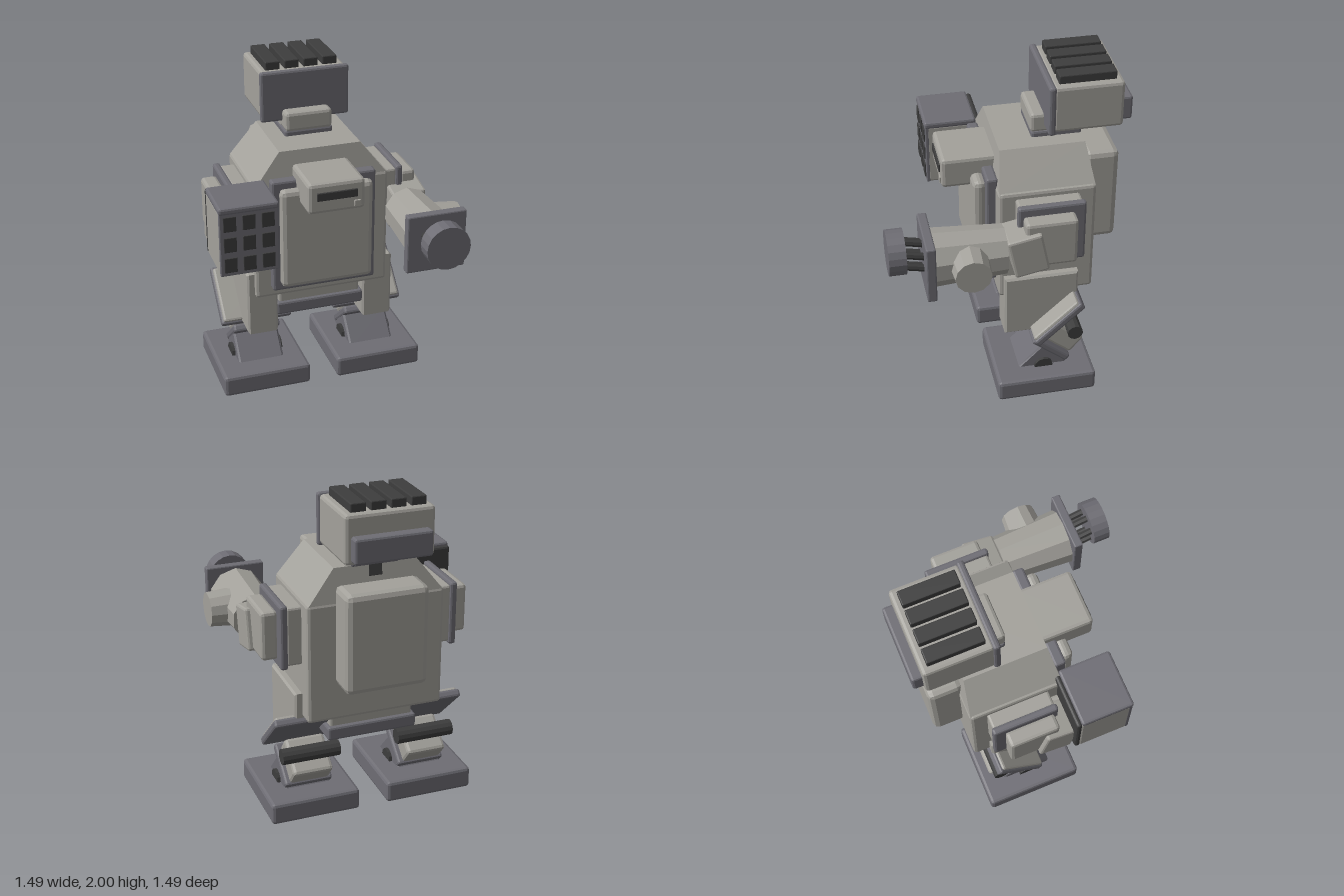
import * as THREE from 'three';
import { RoundedBoxGeometry } from 'three/addons/geometries/RoundedBoxGeometry.js';

const make = (name, color) => {
  const m = new THREE.MeshStandardMaterial({ color, flatShading: true });
  m.name = name;
  return m;
};

export function createModel() {
  const light = make('warm grey armour', 0xa3a19b);
  const dark = make('blue grey frame', 0x6e6d74);
  const black = make('charcoal', 0x3d3d3d);
  const root = new THREE.Group();
  root.name = 'walkerRobot';
  const CX = -0.04; // centre line of the body

  const add = (parent, name, geo, mat, pos = [0, 0, 0], rot = [0, 0, 0]) => {
    const m = new THREE.Mesh(geo, mat);
    m.name = name;
    m.position.set(...pos);
    m.rotation.set(...rot);
    parent.add(m);
    return m;
  };
  // Chamfered box by centre, size and tilt about x
  const block = (parent, name, mat, pos, size, tilt = 0, bevel = 0.014) =>
    add(parent, name, new RoundedBoxGeometry(...size, 1, Math.min(bevel, Math.min(...size) * 0.4)), mat, pos, [tilt, 0, 0]);
  // Chamfered box by its extents
  const span = (parent, name, mat, [x0, x1], [y0, y1], [z0, z1], bevel) =>
    block(parent, name, mat, [(x0 + x1) / 2, (y0 + y1) / 2, (z0 + z1) / 2], [x1 - x0, y1 - y0, z1 - z0], 0, bevel);
  // Solid from a (z, y) side profile, extruded along x about a centre
  const sideProfile = (parent, name, mat, pts, cx, width) => {
    const shape = new THREE.Shape(pts.map(([z, y]) => new THREE.Vector2(-z, y)));
    const b = 0.012;
    const geo = new THREE.ExtrudeGeometry(shape, {
      depth: width - 2 * b, bevelEnabled: true, bevelSize: b, bevelThickness: b, bevelOffset: -b, bevelSegments: 1 });
    geo.translate(0, 0, -(width - 2 * b) / 2).rotateY(Math.PI / 2);
    return add(parent, name, geo, mat, [cx, 0, 0]);
  };
  const group = (name) => {
    const g = new THREE.Group();
    g.name = name;
    root.add(g);
    return g;
  };

  // Torso with sloped shoulders
  const torso = group('torso');
  span(torso, 'hull', light, [-0.46, 0.38], [0.64, 1.38], [-0.5, 0.075], 0.02);
  const slope = new THREE.BoxGeometry(0.82, 0.205, 0.565);
  const p = slope.attributes.position;
  for (let i = 0; i < p.count; i++) {
    if (p.getY(i) > 0) p.setXYZ(i, Math.sign(p.getX(i)) * 0.25, p.getY(i), Math.sign(p.getZ(i)) * 0.253);
  }
  add(torso, 'upperHull', slope, light, [CX, 1.472, -0.213]);
  span(torso, 'chestFrame', dark, [-0.365, 0.28], [0.705, 1.425], [0.06, 0.13]);
  span(torso, 'chestPlate', light, [-0.325, 0.245], [0.75, 1.385], [0.12, 0.197], 0.03);
  span(torso, 'sensorBox', light, [-0.215, 0.13], [1.3, 1.49], [0.03, 0.365], 0.022);
  span(torso, 'sensorSlit', black, [-0.165, 0.08], [1.385, 1.435], [0.355, 0.374], 0.004);
  span(torso, 'sensorLamp', light, [0.06, 0.102], [1.32, 1.363], [0.355, 0.373], 0.004);
  span(torso, 'backpack', light, [-0.29, 0.21], [0.87, 1.48], [-0.68, -0.47], 0.035);
  span(torso, 'pelvis', light, [-0.3, 0.22], [0.55, 0.66], [-0.43, 0.02]);
  span(torso, 'pelvisPlate', dark, [-0.32, 0.24], [0.48, 0.565], [-0.455, 0.04]);

  // Neck and head
  const head = group('head');
  span(head, 'neckCollar', dark, [-0.19, 0.11], [1.56, 1.61], [-0.47, -0.17]);
  span(head, 'neckFront', light, [-0.185, 0.105], [1.6, 1.72], [-0.3, -0.165], 0.02);
  span(head, 'neck', light, [-0.185, 0.105], [1.59, 1.68], [-0.485, -0.28]);
  block(head, 'neckStrut', black, [CX, 1.55, -0.455], [0.1, 0.12, 0.03], 0.15);
  span(head, 'skull', light, [-0.305, 0.225], [1.66, 1.95], [-0.685, -0.27], 0.02);
  span(head, 'facePlate', dark, [-0.315, 0.235], [1.645, 1.957], [-0.285, -0.243]);
  span(head, 'rearBox', dark, [-0.27, 0.19], [1.68, 1.83], [-0.745, -0.67]);
  for (let i = 0; i < 4; i++) {
    span(head, 'topVent', black, [-0.265 + i * 0.118, -0.175 + i * 0.118], [1.93, 2], [-0.645, -0.31], 0.006);
  }

  // Shoulders, upper arms and legs, one of each per side
  for (const s of [-1, 1]) {
    const side = s > 0 ? 'left' : 'right';
    const arm = group(side + 'Arm');
    block(arm, 'shoulderBlock', light, [CX + s * 0.455, 1.16, -0.21], [0.11, 0.36, 0.38]);
    block(arm, 'shoulderFrame', dark, [CX + s * 0.525, 1.16, -0.21], [0.045, 0.395, 0.4]);
    block(arm, 'shoulderPad', light, [CX + s * 0.59, 1.157, -0.19], [0.1, 0.3, 0.305], 0, 0.02);
    block(arm, 'upperArm', light, [CX + s * 0.56, 1.11, -0.05], [0.22, 0.255, 0.205], 0.2);

    const leg = group(side + 'Leg');
    const lx = CX + s * 0.367;
    block(leg, 'foot', dark, [lx, 0.0675, -0.185], [0.555, 0.135, 0.61], 0, 0.02);
    sideProfile(leg, 'ankle', dark, [[-0.02, 0.12], [-0.17, 0.285], [-0.22, 0.285], [-0.34, 0.12]], lx, 0.29);
    add(leg, 'anklePin', new THREE.CylinderGeometry(0.058, 0.058, 0.33, 12), black, [lx, 0.135, -0.185], [0, 0, Math.PI / 2]);
    block(leg, 'shinPlate', dark, [lx, 0.245, -0.235], [0.3, 0.28, 0.05], 0.876);
    block(leg, 'shin', light, [lx, 0.31, -0.31], [0.25, 0.24, 0.14], 0.876, 0.02);
    add(leg, 'kneePin', new THREE.CylinderGeometry(0.048, 0.048, 0.36, 12), black, [lx, 0.385, -0.375], [0, 0, Math.PI / 2]);
    block(leg, 'kneeFrame', dark, [lx, 0.5, -0.265], [0.455, 0.385, 0.05], -0.82);
    block(leg, 'kneePanel', light, [lx, 0.517, -0.249], [0.43, 0.36, 0.035], -0.82);
    sideProfile(leg, 'thigh', light,
      [[0.047, 0.38], [0.047, 0.795], [-0.4, 0.795], [-0.4, 0.62], [-0.14, 0.38]], CX + s * 0.37, 0.19);
  }

  // Rotary gun on the left arm
  const gun = group('rotaryGun');
  const gx = 0.505;
  add(gun, 'gunBody', new THREE.CylinderGeometry(0.17, 0.145, 0.43, 10), light, [gx, 1.1, 0.285], [Math.PI / 2, 0, 0]);
  add(gun, 'ammoDrum', new THREE.CylinderGeometry(0.105, 0.122, 0.2, 12), light, [0.645, 1.105, 0.29], [0, 0, -Math.PI / 2]);
  span(gun, 'gunFlange', dark, [0.325, 0.69], [0.925, 1.288], [0.49, 0.545], 0.008);
  for (let i = 0; i < 6; i++) {
    const a = ((i + 0.5) / 6) * Math.PI * 2;
    add(gun, 'barrel', new THREE.CylinderGeometry(0.022, 0.022, 0.16, 8), black,
      [gx - 0.005 + Math.cos(a) * 0.08, 1.135 + Math.sin(a) * 0.08, 0.6], [Math.PI / 2 - 0.22, 0, 0]);
  }
  add(gun, 'muzzleDisc', new THREE.CylinderGeometry(0.133, 0.133, 0.1, 20), dark, [0.498, 1.163, 0.695], [Math.PI / 2, 0, 0]);

  // Missile pod on the right arm
  const pod = group('missilePod');
  span(pod, 'forearm', light, [-0.69, -0.46], [0.985, 1.22], [-0.07, 0.06]);
  span(pod, 'elbowStub', black, [-0.59, -0.55], [0.968, 1.03], [0, 0.08], 0.006);
  span(pod, 'podBody', light, [-0.742, -0.395], [1, 1.4], [0.06, 0.372]);
  span(pod, 'podBack', black, [-0.742, -0.395], [1, 1.41], [0.035, 0.07]);
  span(pod, 'podLid', dark, [-0.745, -0.392], [1.385, 1.428], [0.065, 0.385]);
  span(pod, 'podFace', dark, [-0.742, -0.395], [1, 1.4], [0.355, 0.38], 0.006);
  for (let c = 0; c < 3; c++) for (let r = 0; r < 3; r++) {
    block(pod, 'missileHatch', black, [-0.682 + c * 0.112, 1.07 + r * 0.129, 0.38], [0.075, 0.092, 0.014], 0, 0.003);
  }
  return root;
}
